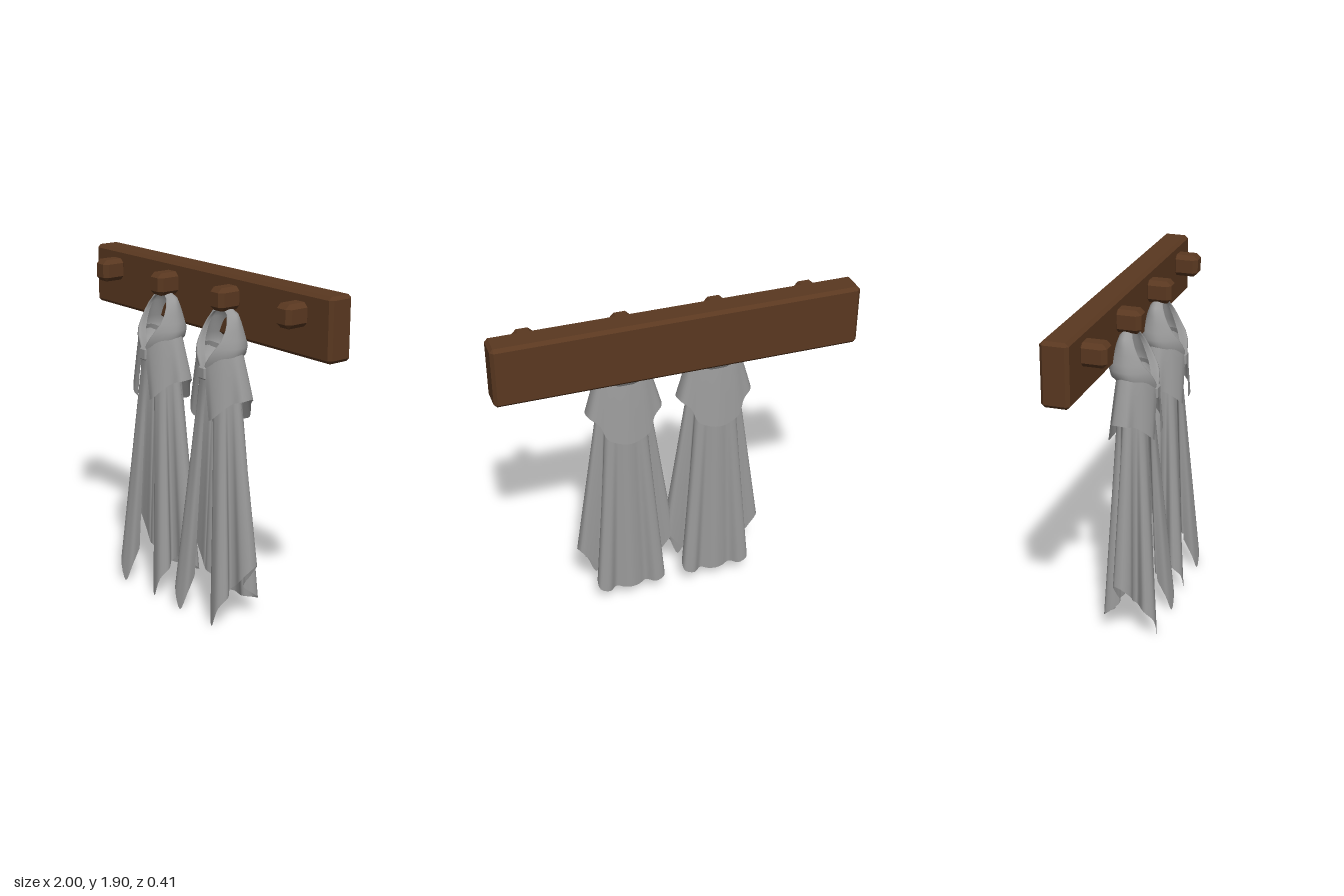
import * as THREE from 'three';
import { ConvexGeometry } from 'three/addons/geometries/ConvexGeometry.js';

const wood = new THREE.MeshStandardMaterial({ color: 0x5a3820 });
wood.name = 'dark wood';
const cloth = new THREE.MeshStandardMaterial({ color: 0x999999, side: THREE.DoubleSide });
cloth.name = 'grey cloth';

const lerp = THREE.MathUtils.lerp;

function addMesh(parent, name, geometry, material) {
  const mesh = new THREE.Mesh(geometry, material);
  mesh.name = name;
  parent.add(mesh);
  return mesh;
}

// Box with every edge cut by c
function chamferBox(w, h, d, c) {
  const pts = [];
  for (const i of [-1, 1]) for (const j of [-1, 1]) for (const k of [-1, 1]) {
    const a = [w / 2, h / 2, d / 2];
    for (let axis = 0; axis < 3; axis++) {
      const p = a.map((v, n) => (n === axis ? v : v - c));
      pts.push(new THREE.Vector3(i * p[0], j * p[1], k * p[2]));
    }
  }
  return new ConvexGeometry(pts);
}

// Open sheet through rows of half sections (front edge to middle of back), mirrored in x
function drape(rows, cols) {
  const positions = [], indices = [];
  for (const half of rows) {
    const other = half.slice(0, -1).reverse().map(([x, y, z]) => [-x, y, z]);
    const curve = new THREE.CatmullRomCurve3(
      [...half, ...other].map((p) => new THREE.Vector3(...p)), false, 'centripetal');
    for (let i = 0; i <= cols; i++) positions.push(...curve.getPoint(i / cols).toArray());
  }
  for (let r = 0; r < rows.length - 1; r++) {
    for (let i = 0; i < cols; i++) {
      const a = r * (cols + 1) + i, b = a + cols + 1;
      indices.push(a, b, a + 1, b, b + 1, a + 1);
    }
  }
  const g = new THREE.BufferGeometry();
  g.setAttribute('position', new THREE.Float32BufferAttribute(positions, 3));
  g.setIndex(indices);
  g.computeVertexNormals();
  return g;
}

// Rows blended from a top section to a hem section
function blendRows(top, hem, count, flare = 1) {
  return Array.from({ length: count + 1 }, (_, r) => {
    const t = r / count;
    const s = Math.pow(t, flare);
    return top.map((p, i) => [
      lerp(p[0], hem[i][0], s), lerp(p[1], hem[i][1], t), lerp(p[2], hem[i][2], s)]);
  });
}

// Long pleated body, open at the front with hanging corners
function bodyGeometry() {
  const hem = [
    [0.10, 0.21, 0.12], [0.105, 0.11, 0.17], [0.14, 0.01, 0.195], [0.19, 0.13, 0.19],
    [0.215, 0.19, 0.14], [0.17, 0.21, 0.09], [0.20, 0.24, 0.075], [0.25, 0.29, 0.08],
    [0.29, 0.35, 0.04], [0.28, 0.36, -0.01], [0.22, 0.28, -0.015], [0.17, 0.20, -0.01],
    [0.20, 0.16, -0.05], [0.195, 0.12, -0.095], [0.14, 0.10, -0.105], [0.09, 0.10, -0.07],
    [0.045, 0.09, -0.085], [0, 0.09, -0.095]];
  const top = hem.map((_, i) => {
    const a = lerp(0.15, Math.PI, i / (hem.length - 1));
    return [0.125 * Math.sin(a), 1.46, 0.025 + 0.08 * Math.cos(a)];
  });
  return drape(blendRows(top, hem, 16), 136);
}

// Short shoulder cape
function capeGeometry() {
  const top = [
    [0.012, 1.44, 0.15], [0.05, 1.46, 0.14], [0.10, 1.51, 0.105], [0.125, 1.535, 0.065],
    [0.135, 1.54, 0.03], [0.13, 1.54, -0.01], [0.11, 1.53, -0.035], [0.08, 1.52, -0.048],
    [0.04, 1.51, -0.055], [0, 1.51, -0.06]];
  const hem = [
    [0.055, 1.16, 0.15], [0.09, 1.18, 0.152], [0.135, 1.23, 0.12], [0.165, 1.265, 0.075],
    [0.21, 1.28, 0.045], [0.205, 1.28, -0.03], [0.155, 1.24, -0.06], [0.12, 1.16, -0.085],
    [0.06, 1.13, -0.10], [0, 1.12, -0.107]];
  return drape(blendRows(top, hem, 8, 0.9), 72);
}

// Hood: height, half width, front z, back z, half opening
function hoodGeometry() {
  const rows = [
    [1.75, 0.012, 0.005, -0.02, 0.002], [1.74, 0.055, 0.015, -0.035, 0.012],
    [1.72, 0.092, 0.03, -0.05, 0.055], [1.68, 0.11, 0.05, -0.065, 0.08],
    [1.64, 0.12, 0.07, -0.08, 0.09], [1.59, 0.135, 0.098, -0.098, 0.088],
    [1.55, 0.145, 0.125, -0.108, 0.072], [1.51, 0.145, 0.143, -0.098, 0.05],
    [1.47, 0.12, 0.15, -0.062, 0.025], [1.42, 0.09, 0.148, -0.04, 0.008]];
  return drape(rows.map(([y, w, f, b, o]) => [
    [o * 0.92, y, lerp(f, b, 0.2)], [o, y, f], [lerp(o, w, 0.6), y, lerp(f, b, 0.16)],
    [w, y, lerp(f, b, 0.48)], [w * 0.82, y, lerp(f, b, 0.8)],
    [w * 0.42, y, lerp(f, b, 0.97)], [0, y, b]]), 60);
}

export function createModel() {
  const model = new THREE.Group();
  model.name = 'cloakRack';

  // Wall board
  addMesh(model, 'board', chamferBox(2, 0.34, 0.15, 0.018), wood).position.set(0, 1.74, -0.135);

  // Pegs
  const pegGeometry = chamferBox(0.11, 0.125, 0.15, 0.024);
  for (const x of [-0.78, -0.26, 0.26, 0.78]) {
    addMesh(model, 'peg', pegGeometry, wood).position.set(x, 1.797, -0.005);
  }

  // Two hanging cloaks
  const parts = {
    cloakBody: bodyGeometry(),
    shoulderCape: capeGeometry(),
    hood: hoodGeometry(),
    clasp: chamferBox(0.058, 0.07, 0.024, 0.008),
  };
  for (const x of [-0.26, 0.26]) {
    const cloak = new THREE.Group();
    cloak.name = 'cloak';
    cloak.position.x = x;
    for (const [name, geometry] of Object.entries(parts)) {
      const mesh = addMesh(cloak, name, geometry, cloth);
      if (name === 'clasp') mesh.position.set(0, 1.415, 0.146);
    }
    model.add(cloak);
  }
  return model;
}
